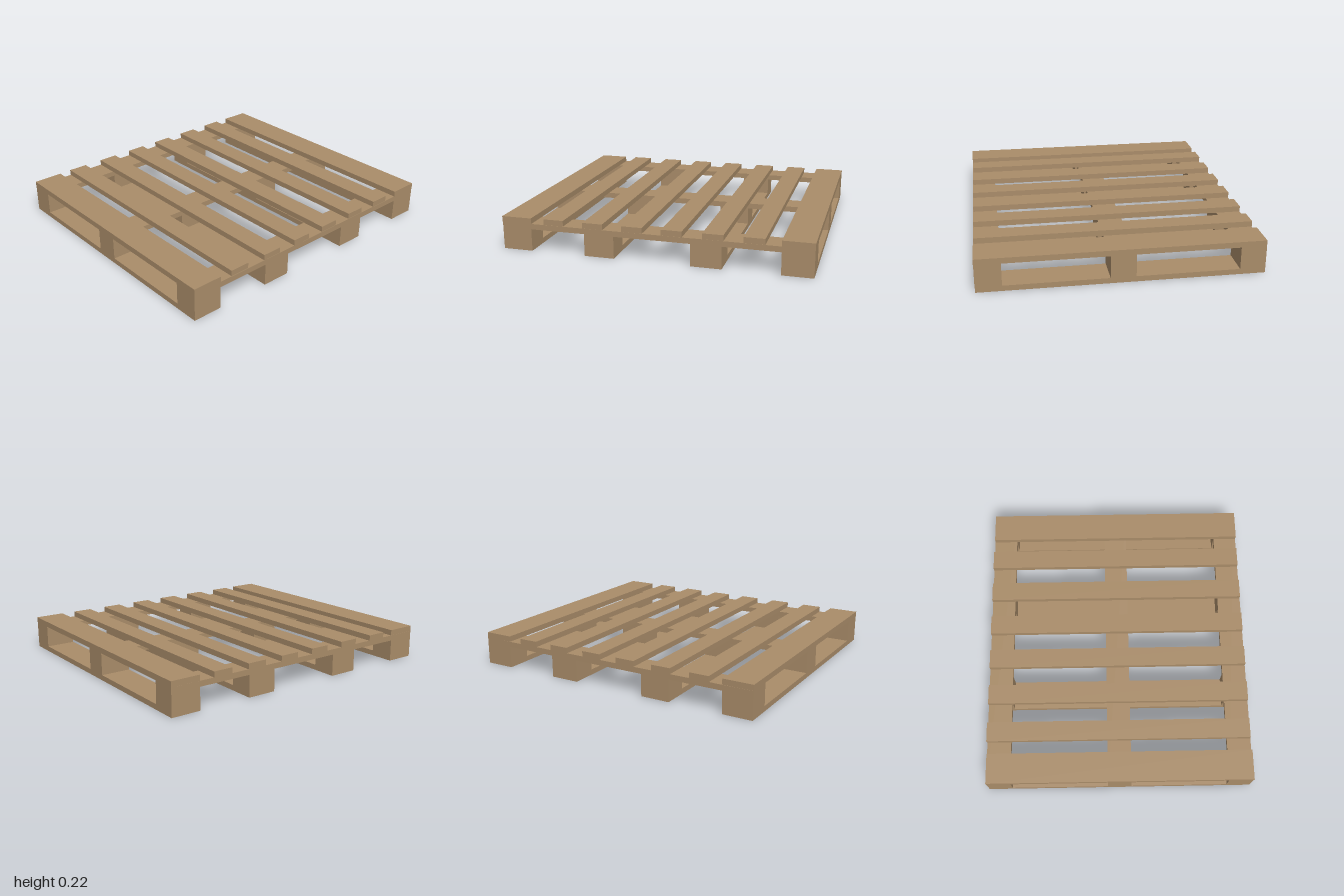
import * as THREE from 'three';

export function createModel() {
  const pallet = new THREE.Group();
  pallet.name = 'pallet';
  const wood = new THREE.MeshStandardMaterial({ color: 0xa98c69 });

  // Box given by its extents on each axis
  function plank(name, [x0, x1], [y0, y1], [z0, z1]) {
    const mesh = new THREE.Mesh(new THREE.BoxGeometry(x1 - x0, y1 - y0, z1 - z0), wood);
    mesh.position.set((x0 + x1) / 2, (y0 + y1) / 2, (z0 + z1) / 2);
    mesh.name = name;
    pallet.add(mesh);
  }

  const columns = [[-0.893, -0.732], [-0.082, 0.077], [0.728, 0.889]];
  const rows = [[-0.998, -0.802], [-0.442, -0.247], [0.247, 0.442], [0.802, 0.998]];

  // Bottom boards, each carrying three spacer blocks
  for (const row of rows) {
    plank('bottomBoard', [-0.893, 0.888], [0, 0.035], row);
    for (const column of columns) plank('spacerBlock', column, [0.035, 0.145], row);
  }

  // Stringers running front to back over the blocks
  for (const column of columns) plank('stringer', column, [0.145, 0.181], [-0.998, 0.998]);

  // Deck boards: wide at both ends, narrow in between; [z centre, width, left shift]
  const deck = [
    [-0.9, 0.198, 0], [-0.638, 0.132, -0.003], [-0.385, 0.132, -0.003], [-0.127, 0.132, -0.003],
    [0.127, 0.132, -0.002], [0.386, 0.132, -0.002], [0.649, 0.132, -0.004], [0.9, 0.2, 0.001],
  ];
  for (const [z, width, shift] of deck) {
    plank('deckBoard', [-0.892 + shift, 0.89 + shift], [0.181, 0.218], [z - width / 2, z + width / 2]);
  }

  return pallet;
}
